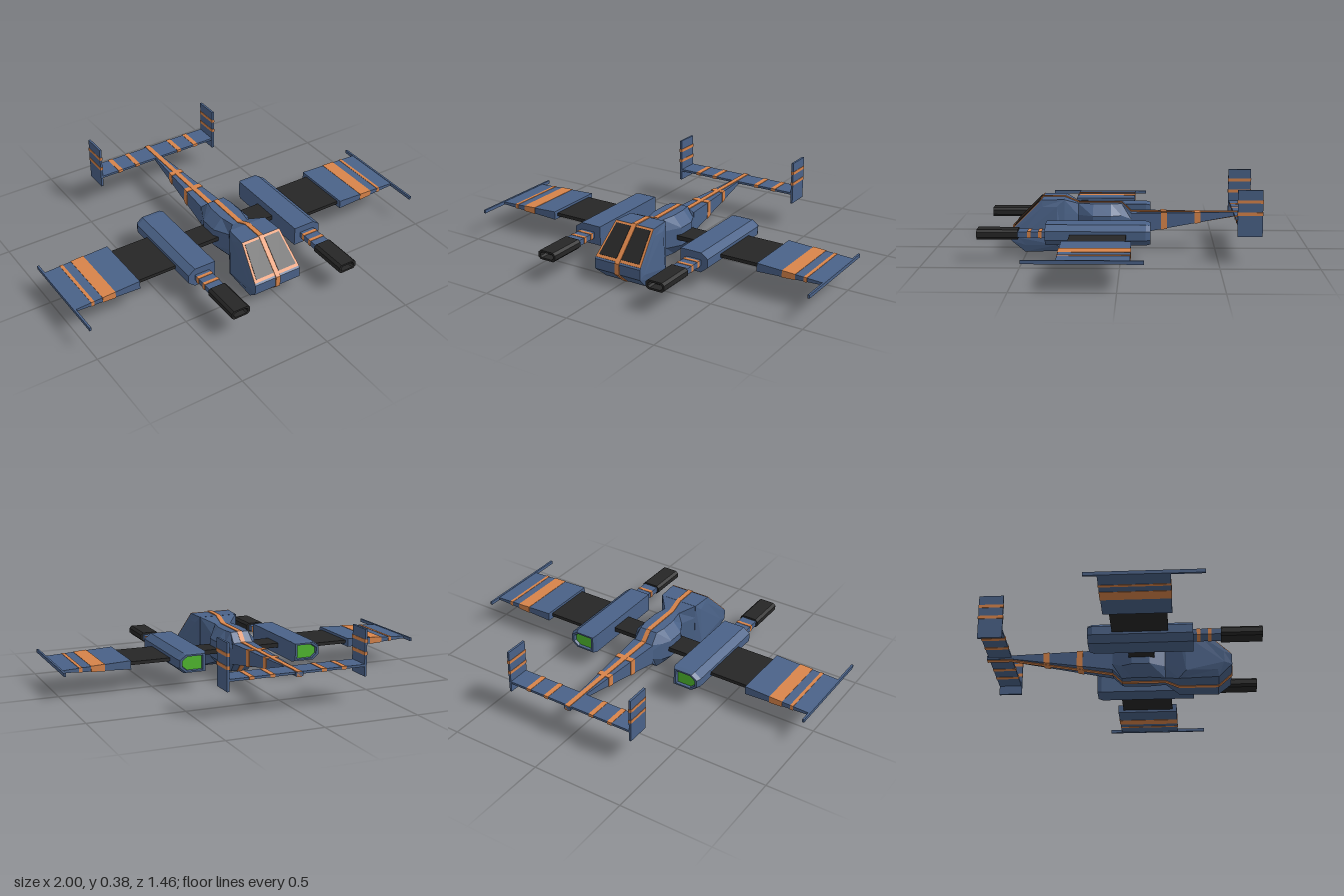
import * as THREE from 'three';

const mat = (color) => new THREE.MeshStandardMaterial({ color, flatShading: true });
const V = (x, y, z) => new THREE.Vector3(x, y, z);
const lerp = THREE.MathUtils.lerp;

// Skin a series of equal-length rings and cap both ends
function loft(rings, s = 1) {
  const R = rings.map((r) => {
    const q = r.map((p) => V(p.x * s, p.y, p.z));
    return s < 0 ? q.reverse() : q;
  });
  const pos = [];
  const tri = (...p) => p.forEach((v) => pos.push(v.x, v.y, v.z));
  const n = R[0].length;
  for (let k = 0; k < R.length - 1; k++) {
    for (let i = 0; i < n; i++) {
      const j = (i + 1) % n;
      tri(R[k][i], R[k][j], R[k + 1][j]);
      tri(R[k][i], R[k + 1][j], R[k + 1][i]);
    }
  }
  const first = R[0], last = R[R.length - 1];
  for (let i = 1; i < n - 1; i++) {
    tri(first[0], first[i + 1], first[i]);
    tri(last[0], last[i], last[i + 1]);
  }
  const g = new THREE.BufferGeometry();
  g.setAttribute('position', new THREE.Float32BufferAttribute(pos, 3));
  g.computeVertexNormals();
  return g;
}

export function createModel() {
  const root = new THREE.Group();
  root.name = 'aircraft';
  const blue = mat(0x4a6288), orange = mat(0xd8844a), black = mat(0x262626), green = mat(0x4fb82e);

  const add = (name, geo, m) => {
    const mesh = new THREE.Mesh(geo, m);
    mesh.name = name;
    root.add(mesh);
    return mesh;
  };
  // Box given by its limits
  const box = (name, m, x0, x1, y0, y1, z0, z1) =>
    add(name, new THREE.BoxGeometry(Math.abs(x1 - x0), y1 - y0, z1 - z0), m)
      .position.set((x0 + x1) / 2, (y0 + y1) / 2, (z0 + z1) / 2);

  // Nose: side outline lofted across x, with bevelled rear corners
  const noseW = (y) => y > 0.12 ? 0.138 - 0.023 * (y - 0.12) / 0.16
    : y < 0.065 ? 0.12 + 0.018 * y / 0.065 : 0.138;
  const outer = [[0.58, 0.065], [0.58, 0.12], [0.42, 0.28], [0.3, 0.28], [0.3, 0.003], [0.51, 0.003]];
  const inner = [[0.54, 0.08], [0.54, 0.14], [0.415, 0.243], [0.34, 0.243], [0.34, 0.04], [0.505, 0.04]];
  const noseRing = (pts, s) => pts.map(([z, y]) => V(s * (z < 0.31 ? 0.108 : noseW(y)), y, z));
  add('nose', loft([noseRing(inner, 1), noseRing(outer, 1), noseRing(outer, -1), noseRing(inner, -1)]), blue);

  // Waist and mid body: octagonal sections [z, bottom, top, flat half width, side half width]
  const oct = ([z, y0, y1, a, b]) => {
    const d = (y1 - y0) * 0.27;
    return [V(b, y0 + d, z), V(b, y1 - d, z), V(a, y1, z), V(-a, y1, z),
      V(-b, y1 - d, z), V(-b, y0 + d, z), V(-a, y0, z), V(a, y0, z)];
  };
  add('midBody', loft([
    [-0.05, 0.085, 0.2, 0.055, 0.06], [0, 0.035, 0.25, 0.05, 0.085], [0.055, 0.035, 0.25, 0.06, 0.11],
    [0.15, 0.035, 0.25, 0.06, 0.11], [0.23, 0.035, 0.25, 0.045, 0.065], [0.302, 0.003, 0.28, 0.107, 0.108],
  ].map(oct)), blue);

  // Tail boom with two wrapped bands
  const tailRing = (z, e = 0) => {
    const t = Math.min(1, (-0.05 - z) / 0.55);
    const w = lerp(0.06, 0.02, t) + e, y0 = lerp(0.085, 0.18, t) - e, y1 = 0.2 + e;
    return [V(w, y0, z), V(w, y1, z), V(-w, y1, z), V(-w, y0, z)];
  };
  add('tailBoom', loft([tailRing(-0.73), tailRing(-0.6), tailRing(-0.05)]), blue);
  for (const z of [-0.225, -0.405])
    add('tailBand', loft([tailRing(z - 0.016, 0.003), tailRing(z + 0.016, 0.003)]), orange);

  // Centre stripe running right around the fuselage outline
  const outline = [[-0.73, 0.176], [-0.6, 0.176], [-0.05, 0.081], [0, 0.031], [0.23, 0.031], [0.3, 0],
    [0.512, 0], [0.585, 0.063], [0.585, 0.124], [0.423, 0.286], [0.3, 0.284], [0.23, 0.254],
    [0, 0.254], [-0.05, 0.204], [-0.73, 0.204]];
  const stripe = new THREE.ExtrudeGeometry(
    new THREE.Shape(outline.map(([z, y]) => new THREE.Vector2(z, y))), { depth: 0.026, bevelEnabled: false });
  stripe.translate(0, 0, -0.013).rotateY(-Math.PI / 2);
  add('centreStripe', stripe, orange);

  // Windscreen frame and its two panes on the sloping nose face
  const slope = (corners, t) => {
    const at = (e) => corners.map(([x, v]) => V(x, 0.12 + 0.16 * v + e, 0.58 - 0.16 * v + e));
    return loft([at(0), at(t)]);
  };
  add('windscreenFrame', slope([[-0.137, 0.05], [0.137, 0.05], [0.115, 1], [-0.115, 1]], 0.002), orange);
  for (const s of [-1, 1]) {
    const pane = [[0.015, 0.12], [0.122, 0.12], [0.104, 0.94], [0.015, 0.94]].map(([x, v]) => [x * s, v]);
    add('windscreenPane', slope(s > 0 ? pane : pane.reverse(), 0.004), black);
  }

  const wy = 0.143; // wing height
  for (const s of [-1, 1]) {
    // Dark inner wing
    box('wingRoot', black, s * 0.09, s * 0.27, wy - 0.012, wy + 0.012, 0.04, 0.175);
    box('innerWing', black, s * 0.36, s * 0.64, wy - 0.009, wy + 0.009, -0.03, 0.255);

    // Tapered outer wing with bands and tip rail
    const wingRing = (x, e = 0) => {
      const h = lerp(0.023, 0.006, (x - 0.63) / 0.37) + e, z0 = -0.06 - e, z1 = 0.28 + e;
      return [V(x, wy - h, z0), V(x, wy + h, z0), V(x, wy + h, z1), V(x, wy - h, z1)];
    };
    add('outerWing', loft([wingRing(0.63), wingRing(0.995)], s), blue);
    for (const [a, b] of [[0.77, 0.842], [0.888, 0.905]])
      add('wingBand', loft([wingRing(a, 0.002), wingRing(b, 0.002)], s), orange);
    box('wingTipRail', blue, s * 0.989, s, wy - 0.009, wy + 0.009, -0.125, 0.44);

    // Engine nacelle, chamfered outboard, with a recessed glowing exhaust
    const nacelle = [[0.25, 0.09], [0.37, 0.09], [0.408, 0.122], [0.408, 0.168], [0.37, 0.196], [0.25, 0.196]];
    const nRing = (z, k = 1) => nacelle.map(([x, y]) =>
      V(0.325 + (x - 0.325) * k, wy + (y - wy) * k, z));
    add('nacelle', loft([nRing(-0.13, 0.66), nRing(-0.155, 0.72), nRing(-0.155, 0.88),
      nRing(-0.13), nRing(0.38)], s), blue);
    add('exhaustGlow', loft([nRing(-0.14, 0.67), nRing(-0.125, 0.67)], s), green);

    // Gun mount with bands, then the hollow gun barrel
    box('gunMount', blue, s * 0.286, s * 0.37, 0.128, 0.158, 0.37, 0.53);
    for (const z of [0.407, 0.463])
      box('gunMountBand', orange, s * 0.284, s * 0.372, 0.126, 0.16, z - 0.009, z + 0.009);
    const gRing = (z, w, h) => [[1, -0.5], [1, 0.5], [0.75, 1], [-0.75, 1], [-1, 0.5], [-1, -0.5],
      [-0.75, -1], [0.75, -1]].map(([x, y]) => V(0.327 + x * w, wy + y * h, z));
    add('gunBarrel', loft([gRing(0.52, 0.053, 0.025), gRing(0.73, 0.053, 0.025),
      gRing(0.73, 0.04, 0.015), gRing(0.68, 0.04, 0.015)], s), black);

    // Tailplane half and end fin, each with two bands
    box('tailplane', blue, s * 0.01, s * 0.37, 0.188, 0.2, -0.72, -0.597);
    for (const x of [0.125, 0.235])
      box('tailplaneBand', orange, s * x, s * (x + 0.026), 0.186, 0.202, -0.722, -0.595);
    box('tailFin', blue, s * 0.362, s * 0.374, 0.138, 0.377, -0.72, -0.593);
    for (const y of [0.246, 0.309])
      box('finBand', orange, s * 0.36, s * 0.376, y, y + 0.017, -0.722, -0.591);
  }
  return root;
}
